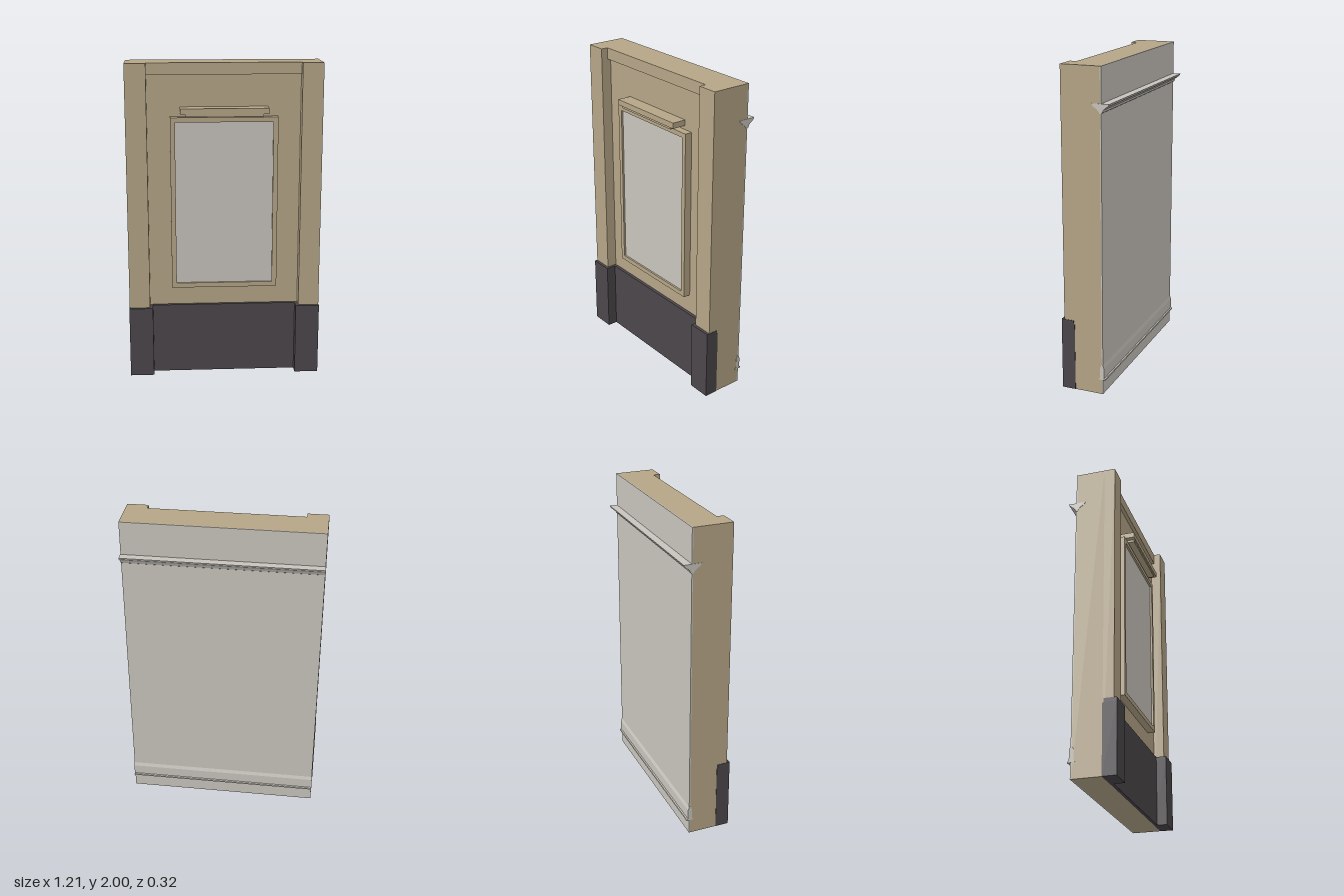
import * as THREE from 'three';

export function createModel() {
  const model = new THREE.Group();
  const mat = (name, color) => {
    const m = new THREE.MeshStandardMaterial({ color });
    m.name = name;
    return m;
  };
  const tan = mat('tan', 0xb5a587);
  const grey = mat('light grey', 0xc8c4bd);
  const dark = mat('dark charcoal', 0x4b464a);

  // Box given by its extents on each axis
  const box = (name, material, [x0, x1], [y0, y1], [z0, z1]) => {
    const mesh = new THREE.Mesh(new THREE.BoxGeometry(x1 - x0, y1 - y0, z1 - z0), material);
    mesh.position.set((x0 + x1) / 2, (y0 + y1) / 2, (z0 + z1) / 2);
    mesh.name = name;
    model.add(mesh);
  };

  // Wall core, back sheet and top beam
  box('wallCore', tan, [-0.605, 0.605], [0, 2], [-0.107, 0.07]);
  box('backSheet', grey, [-0.605, 0.605], [0, 2], [-0.114, -0.107]);
  box('topBeam', tan, [-0.475, 0.475], [1.928, 2], [0.07, 0.093]);

  // Side pilasters with their plinths
  for (const s of [-1, 1]) {
    const span = (a, b) => (s > 0 ? [a, b] : [-b, -a]);
    box('pilaster', tan, span(0.475, 0.605), [0.002, 2], [0.07, 0.137]);
    box('pilasterPlinth', dark, span(0.457, 0.607), [0, 0.43], [0.069, 0.155]);
    box('pilasterPlinthCap', dark, span(0.457, 0.607), [0.43, 0.455], [0.075, 0.155]);
  }
  box('baseboard', dark, [-0.457, 0.457], [0, 0.455], [0.07, 0.09]);

  // Framed panel: an outline with a hole, and an inset pane
  const frameShape = new THREE.Shape([
    [-0.333, 0.58], [0.333, 0.58], [0.333, 1.67], [-0.333, 1.67],
  ].map(p => new THREE.Vector2(...p)));
  frameShape.holes.push(new THREE.Path([
    [-0.303, 0.61], [-0.303, 1.64], [0.303, 1.64], [0.303, 0.61],
  ].map(p => new THREE.Vector2(...p))));
  const frame = new THREE.Mesh(
    new THREE.ExtrudeGeometry(frameShape, { depth: 0.047, bevelEnabled: false }), tan);
  frame.position.z = 0.07;
  frame.name = 'panelFrame';
  model.add(frame);
  box('pane', grey, [-0.303, 0.303], [0.61, 1.64], [0.07, 0.105]);

  // Small hood above the frame
  box('hood', tan, [-0.272, 0.272], [1.695, 1.73], [0.07, 0.161]);
  box('hoodUnderside', tan, [-0.24, 0.24], [1.68, 1.695], [0.07, 0.153]);

  // Back mouldings: (z, y) profiles swept across the width
  const moulding = (name, points) => {
    const shape = new THREE.Shape(points.map(p => new THREE.Vector2(...p)));
    const geo = new THREE.ExtrudeGeometry(shape, { depth: 1.214, bevelEnabled: false });
    geo.rotateY(-Math.PI / 2).translate(0.607, 0, 0);
    const mesh = new THREE.Mesh(geo, grey);
    mesh.name = name;
    model.add(mesh);
  };
  moulding('upperMoulding', [
    [-0.163, 1.79], [-0.158, 1.778], [-0.142, 1.766], [-0.128, 1.755], [-0.12, 1.738],
    [-0.108, 1.73], [-0.098, 1.745], [-0.085, 1.76], [-0.065, 1.772], [-0.053, 1.79],
  ]);
  moulding('lowerMoulding', [
    [-0.132, 0.095], [-0.13, 0.103], [-0.122, 0.106], [-0.122, 0.17], [-0.113, 0.195],
    [-0.104, 0.195], [-0.096, 0.17], [-0.095, 0.106], [-0.088, 0.103], [-0.086, 0.095],
  ]);

  return model;
}
